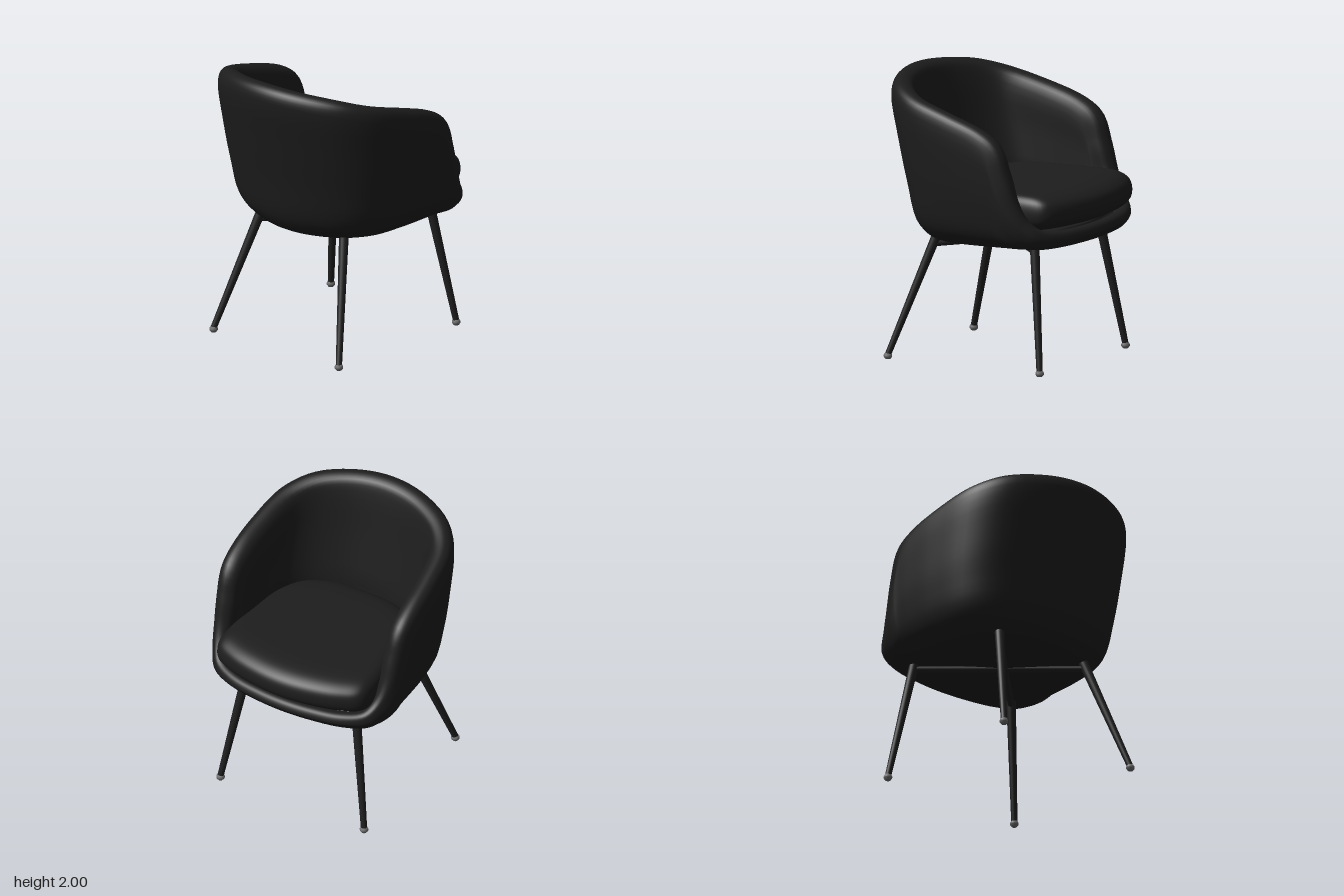
import * as THREE from 'three';

const fabric = new THREE.MeshStandardMaterial({ color: 0x1d1d1d });
fabric.name = 'blackFabric';
const steel = new THREE.MeshStandardMaterial({ color: 0x202020 });
steel.name = 'blackSteel';
const rubber = new THREE.MeshStandardMaterial({ color: 0x6e6e6e });
rubber.name = 'greyFoot';

const V = (x, y, z) => new THREE.Vector3(x, y, z);
const mix = THREE.MathUtils.lerp;

// Closed curve from half an outline, mirrored across z = 0 (first and last points lie on z = 0)
function mirroredLoop(half) {
  const pts = half.map(p => V(...p));
  const other = half.slice(1, -1).reverse().map(([x, y, z]) => V(x, y, -z));
  return new THREE.CatmullRomCurve3([...pts, ...other], true);
}

// Smooth closed surface from one profile per step around a loop
function loft(name, columns, rows, profileAt) {
  const pos = [], index = [], m = rows + 1;
  for (let i = 0; i < columns; i++) {
    const curve = new THREE.CatmullRomCurve3(profileAt(i / columns));
    for (const p of curve.getPoints(rows)) pos.push(p.x, p.y, p.z);
    for (let j = 0; j < rows; j++) {
      const a = i * m + j, b = ((i + 1) % columns) * m + j;
      index.push(a, b, b + 1, a, b + 1, a + 1);
    }
  }
  const geo = new THREE.BufferGeometry();
  geo.setAttribute('position', new THREE.Float32BufferAttribute(pos, 3));
  geo.setIndex(index);
  geo.computeVertexNormals();
  const mesh = new THREE.Mesh(geo, fabric);
  mesh.name = name;
  return mesh;
}

// Wrap-around shell: high back, sloping arms, low front lip
function makeShell() {
  const rim = mirroredLoop([
    [-0.8, 1.9, 0], [-0.755, 1.885, 0.28], [-0.615, 1.85, 0.55], [-0.41, 1.795, 0.7],
    [-0.1, 1.715, 0.757], [0.15, 1.635, 0.77], [0.27, 1.56, 0.77], [0.335, 1.4, 0.765],
    [0.412, 1.215, 0.745], [0.51, 1.07, 0.7], [0.615, 0.985, 0.625], [0.695, 0.957, 0.46],
    [0.74, 0.95, 0.22], [0.755, 0.95, 0]]);
  // height, x and z fractions between the base and the rim
  const outer = [[0, 0, 0], [0.03, 0.2, 0.34], [0.14, 0.43, 0.72], [0.4, 0.61, 0.92], [0.7, 0.82, 1], [1, 1, 1]];
  return loft('shell', 120, 60, u => {
    const r = rim.getPoint(u), t = rim.getTangent(u);
    const inward = V(-Math.sign(r.x) * Math.abs(r.x / 0.8) ** 2, 0, -Math.sign(r.z) * Math.abs(r.z / 0.77) ** 2).normalize();
    const up = t.clone().cross(inward).normalize();
    const s = (r.x + 0.8) / 1.555;
    const low = THREE.MathUtils.smoothstep(r.y, 0.95, 1.4);
    const h = mix(0.058, 0.1, low), w = mix(0.12, 0.175, low);
    const base = V(mix(-0.45, 0.68, s), mix(0.842, 0.888, s), r.z * 0.68);
    const floor = V(mix(-0.42, 0.6, s), 0.99, r.z * 0.74);
    const at = (a, b) => r.clone().addScaledVector(inward, a * w).addScaledVector(up, b * h);
    const pts = [V(0.08, 0.83, 0), V(mix(0.08, base.x, 0.6), base.y - 0.01, base.z * 0.6)];
    for (const [g, fx, fz] of outer)
      pts.push(V(mix(base.x, r.x, fx), mix(base.y, r.y, g), mix(base.z, r.z, fz)));
    pts.push(at(0.13, 0.75), at(0.42, 1), at(0.8, 0.75));
    const inner = at(1, 0);
    pts.push(inner, inner.clone().lerp(floor, 0.35), inner.clone().lerp(floor, 0.7), floor, V(0.1, 0.99, 0));
    return pts;
  });
}

// Loose seat cushion, softer at the front and back than at the sides
function makeCushion() {
  const outline = mirroredLoop([
    [-0.42, 0, 0], [-0.4, 0, 0.25], [-0.3, 0, 0.44], [-0.1, 0, 0.545], [0.2, 0, 0.585],
    [0.5, 0, 0.613], [0.64, 0, 0.585], [0.72, 0, 0.45], [0.78, 0, 0.22], [0.8, 0, 0]]);
  const profile = [[0, 1.015], [0.45, 1.015], [0.76, 1.02], [0.9, 1.05], [0.98, 1.09], [1, 1.15],
    [0.97, 1.212], [0.89, 1.25], [0.76, 1.272], [0.45, 1.28], [0, 1.28]];
  return loft('seatCushion', 96, 40, u => {
    const p = outline.getPoint(u);
    return profile.map(([k, y]) => V(mix(0.19, p.x, k), y, p.z * Math.sqrt(k)));
  });
}

// Round bar between two points
function bar(name, from, to, r0, r1) {
  const dir = to.clone().sub(from);
  const mesh = new THREE.Mesh(new THREE.CylinderGeometry(r1, r0, dir.length(), 20), steel);
  mesh.position.copy(from).addScaledVector(dir, 0.5);
  mesh.quaternion.setFromUnitVectors(V(0, 1, 0), dir.normalize());
  mesh.name = name;
  return mesh;
}

export function createModel() {
  const chair = new THREE.Group();
  chair.name = 'tubArmchair';
  chair.add(makeShell(), makeCushion());

  const footProfile = [[0, 0], [0.018, 0], [0.03, 0.015], [0.03, 0.028], [0.022, 0.042], [0, 0.042]]
    .map(p => new THREE.Vector2(...p));
  const footGeo = new THREE.LatheGeometry(footProfile, 16);

  for (const side of [1, -1]) {
    const label = side > 0 ? 'Left' : 'Right';
    const legs = [
      ['rear', V(-0.63, 0.03, 0.583 * side), V(-0.355, 0.87, 0.385 * side)],
      ['front', V(0.598, 0.03, 0.583 * side), V(0.475, 0.9, 0.445 * side)]];
    for (const [place, foot, top] of legs) {
      chair.add(bar(place + label + 'Leg', foot, top, 0.022, 0.034));
      const cap = new THREE.Mesh(footGeo, rubber);
      cap.position.set(foot.x, 0, foot.z);
      cap.name = place + label + 'Foot';
      chair.add(cap);
    }
    // Crossed bars under the seat
    chair.add(bar('crossBar' + label, V(-0.365, 0.815, 0.395 * side), V(0.48, 0.85, -0.45 * side), 0.022, 0.022));
  }
  return chair;
}
